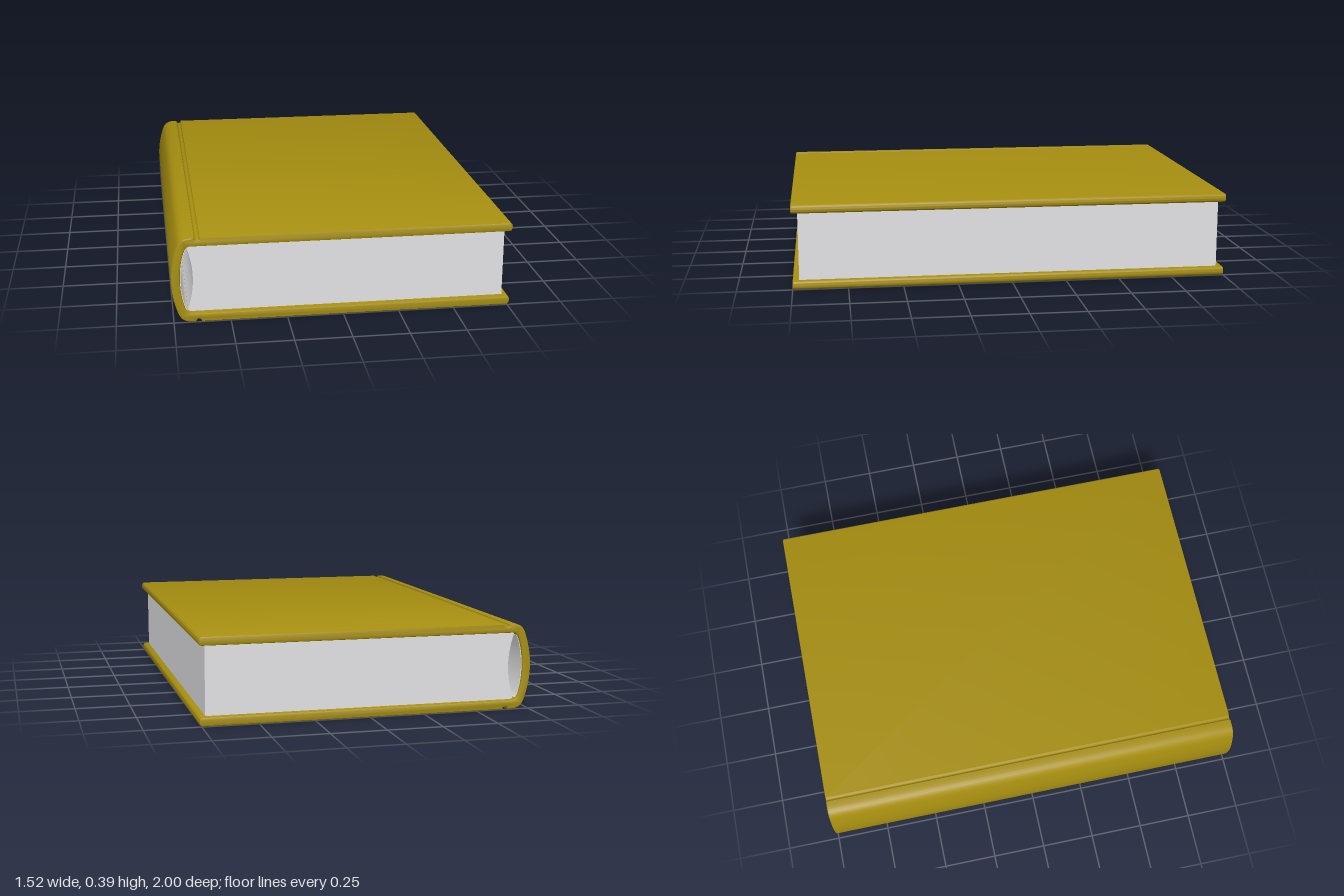
import * as THREE from 'three';
import { toCreasedNormals } from 'three/addons/utils/BufferGeometryUtils.js';

const MID_Y = 0.195;
const mirrored = (pts) => pts.map((p) => new THREE.Vector2(p.x, -p.y)).reverse();
const tidy = (pts) => pts.filter((p, i) => i === 0 || p.distanceTo(pts[i - 1]) > 1e-5);

// Extrudes a cross-section (drawn around mid height) along z, centred.
function slab(points, length, bevel, material, name) {
  const geometry = new THREE.ExtrudeGeometry(new THREE.Shape(tidy(points)), {
    depth: length - 2 * bevel, bevelEnabled: bevel > 0,
    bevelSize: bevel, bevelThickness: bevel, bevelOffset: -bevel, bevelSegments: 2,
  });
  geometry.translate(0, MID_Y, -length / 2 + bevel);
  const mesh = new THREE.Mesh(toCreasedNormals(geometry, 0.6), material);
  mesh.name = name;
  return mesh;
}

export function createModel() {
  const gold = new THREE.MeshStandardMaterial({ color: 0xa68e10 });
  gold.name = 'mustard cloth';
  const paper = new THREE.MeshStandardMaterial({ color: 0xe2e2e5 });
  paper.name = 'paper';
  const white = new THREE.MeshStandardMaterial({ color: 0xf8f8f8 });
  white.name = 'white lining';

  const book = new THREE.Group();
  book.name = 'book';

  // Upper half of the cover: outside from fore-edge to spine, with hinge groove
  const outer = new THREE.Path();
  outer.moveTo(0.76, 0.175);
  outer.quadraticCurveTo(0.76, 0.195, 0.74, 0.195);
  outer.lineTo(-0.628, 0.195);
  outer.absarc(-0.64, 0.195, 0.012, 0, -Math.PI, true);
  outer.lineTo(-0.67, 0.195);
  outer.bezierCurveTo(-0.71, 0.195, -0.725, 0.175, -0.735, 0.14);
  outer.quadraticCurveTo(-0.758, 0.07, -0.758, 0);
  const outerPts = outer.getPoints(8);

  // Inside from spine back to fore-edge
  const inner = new THREE.Path();
  inner.moveTo(-0.718, 0);
  inner.quadraticCurveTo(-0.718, 0.07, -0.7, 0.125);
  inner.quadraticCurveTo(-0.69, 0.155, -0.67, 0.155);
  inner.lineTo(0.742, 0.155);
  inner.quadraticCurveTo(0.76, 0.155, 0.76, 0.173);
  const innerPts = inner.getPoints(8);

  book.add(slab(
    [...outerPts, ...mirrored(outerPts), ...mirrored(innerPts), ...innerPts],
    2, 0.007, gold, 'cover'));

  // Page block with a hollow back
  const pages = new THREE.Path();
  pages.moveTo(0.73, -0.156);
  pages.lineTo(0.73, 0.156);
  pages.lineTo(-0.69, 0.156);
  pages.quadraticCurveTo(-0.632, 0, -0.69, -0.156);
  book.add(slab(pages.getPoints(16), 1.94, 0, paper, 'pages'));

  // Thin lining inside the spine
  const half = innerPts.filter((p) => p.x < -0.69);
  const curve = tidy([...mirrored(half), ...half]);
  const face = curve.map((p) => new THREE.Vector2(p.x + 0.003, p.y)).reverse();
  book.add(slab([...curve, ...face], 1.98, 0, white, 'spineLining'));

  return book;
}
